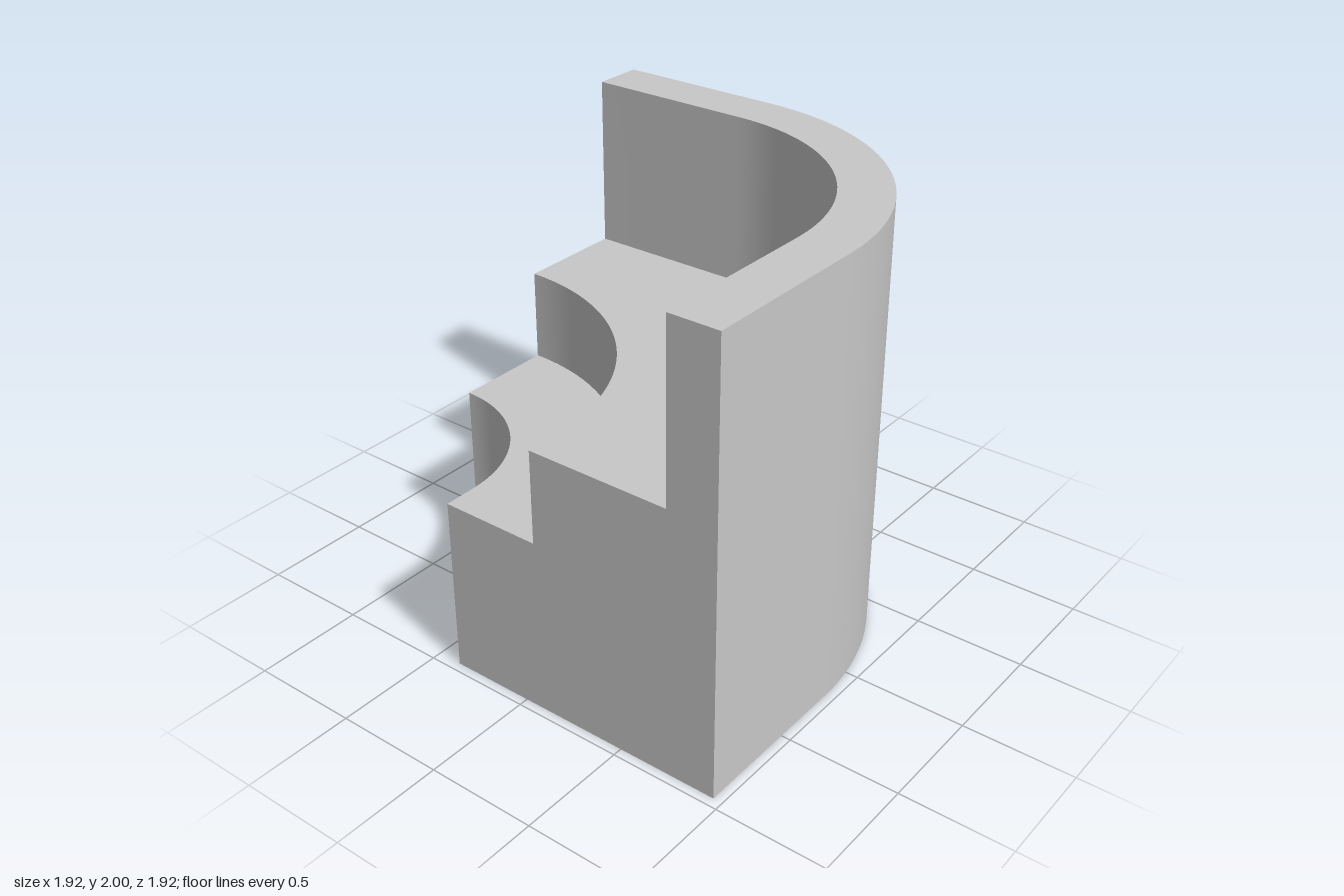
import * as THREE from 'three';
import { toCreasedNormals } from 'three/addons/utils/BufferGeometryUtils.js';

const HALF = 0.958; // half the footprint
const STEP1 = 0.805, STEP2 = 1.225, TOP = 2;
const HOLE = { x: 0.21, z: 0.21, r: 0.26, chamfer: 0.025, depth: 0.27 };

// Plan curve: straight from the -x end, quarter arc, straight to the -z end
function rail(cx, cz, r, segments = 40) {
  const pts = [new THREE.Vector2(-HALF, cz + r)];
  for (let i = 0; i <= segments; i++) {
    const a = (Math.PI / 2) * (1 - i / segments);
    pts.push(new THREE.Vector2(cx + r * Math.cos(a), cz + r * Math.sin(a)));
  }
  if (cz > -HALF + 0.001) pts.push(new THREE.Vector2(cx + r, -HALF));
  return pts;
}

// Band between two plan curves, as a shape in (x, z)
function band(outer, inner) {
  return new THREE.Shape([...outer, ...[...inner].reverse()]);
}

// Extrudes a plan shape from y0 up to y1
function block(name, shape, y0, y1, material) {
  const geo = new THREE.ExtrudeGeometry(shape, { depth: y1 - y0, bevelEnabled: false, curveSegments: 48 });
  geo.rotateX(Math.PI / 2).translate(0, y1, 0);
  const mesh = new THREE.Mesh(toCreasedNormals(geo, 0.5), material);
  mesh.name = name;
  return mesh;
}

export function createModel() {
  const group = new THREE.Group();
  group.name = 'steppedCornerBlock';
  const grey = new THREE.MeshStandardMaterial({ color: 0xc8c8c8, side: THREE.DoubleSide });
  grey.name = 'plain grey';

  const outside = rail(-0.187, -0.187, 1.145);
  const wallInside = rail(-0.187, -0.187, 0.917);
  const middleEdge = rail(-0.81, -HALF, 1.035);
  const innerEdge = rail(-0.81, -HALF, 0.573);

  // Tall outer wall and low inner step
  group.add(block('outerWall', band(outside, wallInside), 0, TOP, grey));
  group.add(block('lowerStep', band(middleEdge, innerEdge), 0, STEP1, grey));

  // Middle step, with a blind hole in its underside
  const pierced = band(wallInside, middleEdge);
  pierced.holes.push(new THREE.Path().absarc(HOLE.x, HOLE.z, HOLE.r + HOLE.chamfer, 0, Math.PI * 2, true));
  group.add(block('middleStepBase', pierced, 0, HOLE.depth, grey));
  group.add(block('middleStep', band(wallInside, middleEdge), HOLE.depth, STEP2, grey));

  // Chamfered hole lining, facing inward
  const lining = new THREE.LatheGeometry([
    new THREE.Vector2(HOLE.r, HOLE.depth),
    new THREE.Vector2(HOLE.r, HOLE.chamfer),
    new THREE.Vector2(HOLE.r + HOLE.chamfer, 0),
  ], 96);
  const hole = new THREE.Mesh(toCreasedNormals(lining, 0.5), grey);
  hole.name = 'undersideHole';
  hole.position.set(HOLE.x, 0, HOLE.z);
  group.add(hole);

  return group;
}
